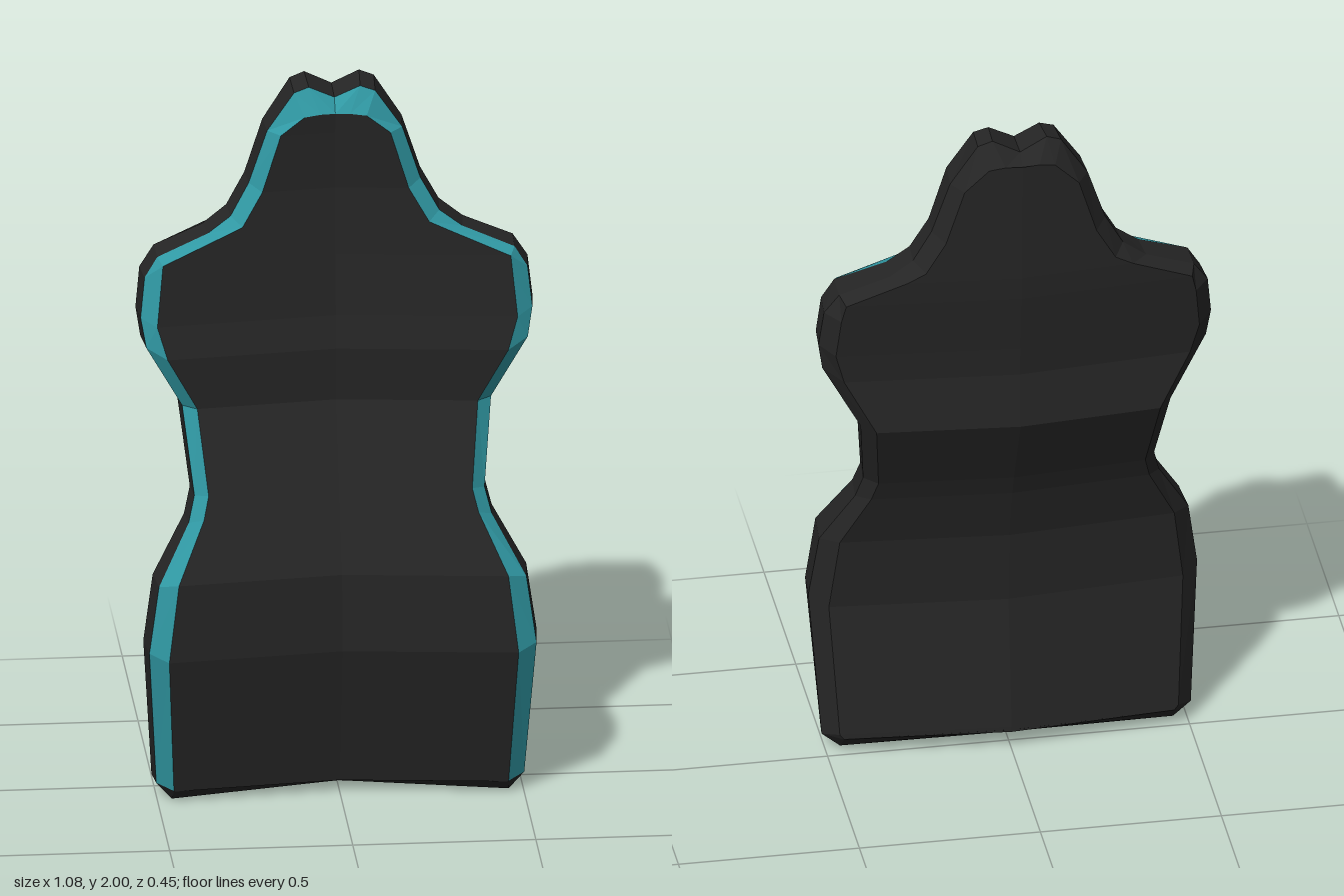
import * as THREE from 'three';

// Half outline from top centre to bottom centre: rim x, rim y, front panel x, front panel y
const STATIONS = [
  [0, 1.962, 0, 1.92],
  [0.075, 2.0, 0.04, 1.92],
  [0.115, 1.985, 0.085, 1.915],
  [0.19, 1.87, 0.15, 1.865],
  [0.24, 1.72, 0.2, 1.7],
  [0.29, 1.63, 0.255, 1.605],
  [0.355, 1.58, 0.3, 1.585],
  [0.49, 1.528, 0.475, 1.51],
  [0.53, 1.47, 0.48, 1.46],
  [0.542, 1.36, 0.492, 1.34],
  [0.53, 1.28, 0.465, 1.25],
  [0.428, 1.1, 0.383, 1.1],
  [0.402, 0.87, 0.36, 0.88],
  [0.42, 0.8, 0.375, 0.82],
  [0.51, 0.645, 0.45, 0.66],
  [0.537, 0.46, 0.477, 0.44],
  [0.51, 0.05, 0.457, 0.035],
  [0.46, 0, 0.455, 0.033],
  [0, 0.02, 0, 0.035],
];
// Centre-line depth of each side: y, z
const FRONT = [[0.03, 0.085], [0.44, 0.172], [0.66, 0.166], [1.1, -0.022], [1.25, -0.015],
  [1.34, -0.035], [1.51, -0.053], [1.72, -0.067], [1.92, -0.05]];
const BACK = [[0.06, -0.05], [0.55, 0.015], [0.85, -0.07], [1.12, -0.2], [1.27, -0.175],
  [1.55, -0.215], [1.94, -0.225]];

function depth(profile, y) {
  if (y <= profile[0][0]) return profile[0][1];
  for (let i = 1; i < profile.length; i++) {
    const [y0, z0] = profile[i - 1], [y1, z1] = profile[i];
    if (y <= y1) return z0 + (z1 - z0) * (y - y0) / (y1 - y0);
  }
  return profile[profile.length - 1][1];
}

const mix = THREE.MathUtils.lerp;
const frontZ = (x, y) => depth(FRONT, y) + 0.11 * x;
const backZ = (x, y) => depth(BACK, y) + 0.085 * x;

// Strip between two half loops, mirrored to both sides, with hard facets
function strip(P, Q, from, to) {
  const pos = [];
  const tri = (a, b, c) => {
    const n = b.clone().sub(a).cross(c.clone().sub(a));
    if (n.length() < 1e-7) return;
    for (const v of [a, b, c]) pos.push(v.x, v.y, v.z);
    for (const v of [a, c, b]) pos.push(-v.x, v.y, v.z);
  };
  for (let i = from; i < to; i++) {
    tri(P[i], P[i + 1], Q[i + 1]);
    tri(P[i], Q[i + 1], Q[i]);
  }
  const g = new THREE.BufferGeometry();
  g.setAttribute('position', new THREE.Float32BufferAttribute(pos, 3));
  g.computeVertexNormals();
  return g;
}

export function createModel() {
  const group = new THREE.Group();
  group.name = 'contouredBackPlate';
  const charcoal = new THREE.MeshStandardMaterial({ color: 0x252525 });
  charcoal.name = 'charcoal';
  const teal = new THREE.MeshStandardMaterial({ color: 0x3098a3 });
  teal.name = 'teal';

  const last = STATIONS.length - 1;
  const V = (x, y, z) => new THREE.Vector3(x, y, z);

  // Cross-section loops from the front centre line round to the back centre line
  const frontEdge = STATIONS.map(([, , x, y]) => V(x, y, frontZ(x, y)));
  const frontMid = frontEdge.map((p) => V(0, p.y, frontZ(0, p.y)));
  const frontRim = STATIONS.map(([x, y, ix, iy]) =>
    V(mix(ix, x, 0.86), mix(iy, y, 0.86), frontZ(ix, iy) - 0.033));
  const sideFront = STATIONS.map(([x, y, ix, iy], i) =>
    i > last - 2 ? V(x, y, frontZ(ix, iy) - 0.034) : frontRim[i]);
  const backEdge = STATIONS.map(([x, y, ix, iy], i) => {
    const bx = mix(ix, x, 0.2), by = mix(iy, y, 0.25) + (i > last - 3 ? 0.03 : 0);
    return V(bx, by, backZ(bx, by));
  });
  const backMid = backEdge.map((p) => V(0, p.y, backZ(0, p.y)));
  const backRim = STATIONS.map(([x, y], i) =>
    V(x, y + (i > last - 2 ? 0.01 : 0), backZ(x, y) + 0.045));

  const add = (name, material, P, Q, from = 0, to = last) => {
    const mesh = new THREE.Mesh(strip(P, Q, from, to), material);
    mesh.name = name;
    group.add(mesh);
  };

  add('frontPanel', charcoal, frontMid, frontEdge);
  // Coloured front bevel runs down both sides and stops at the bottom corners
  add('frontTrim', teal, frontEdge, sideFront, 0, last - 2);
  add('bottomFrontBevel', charcoal, frontEdge, sideFront, last - 2, last);
  add('sideWall', charcoal, sideFront, backRim);
  add('backBevel', charcoal, backRim, backEdge);
  add('backPanel', charcoal, backEdge, backMid);
  return group;
}
